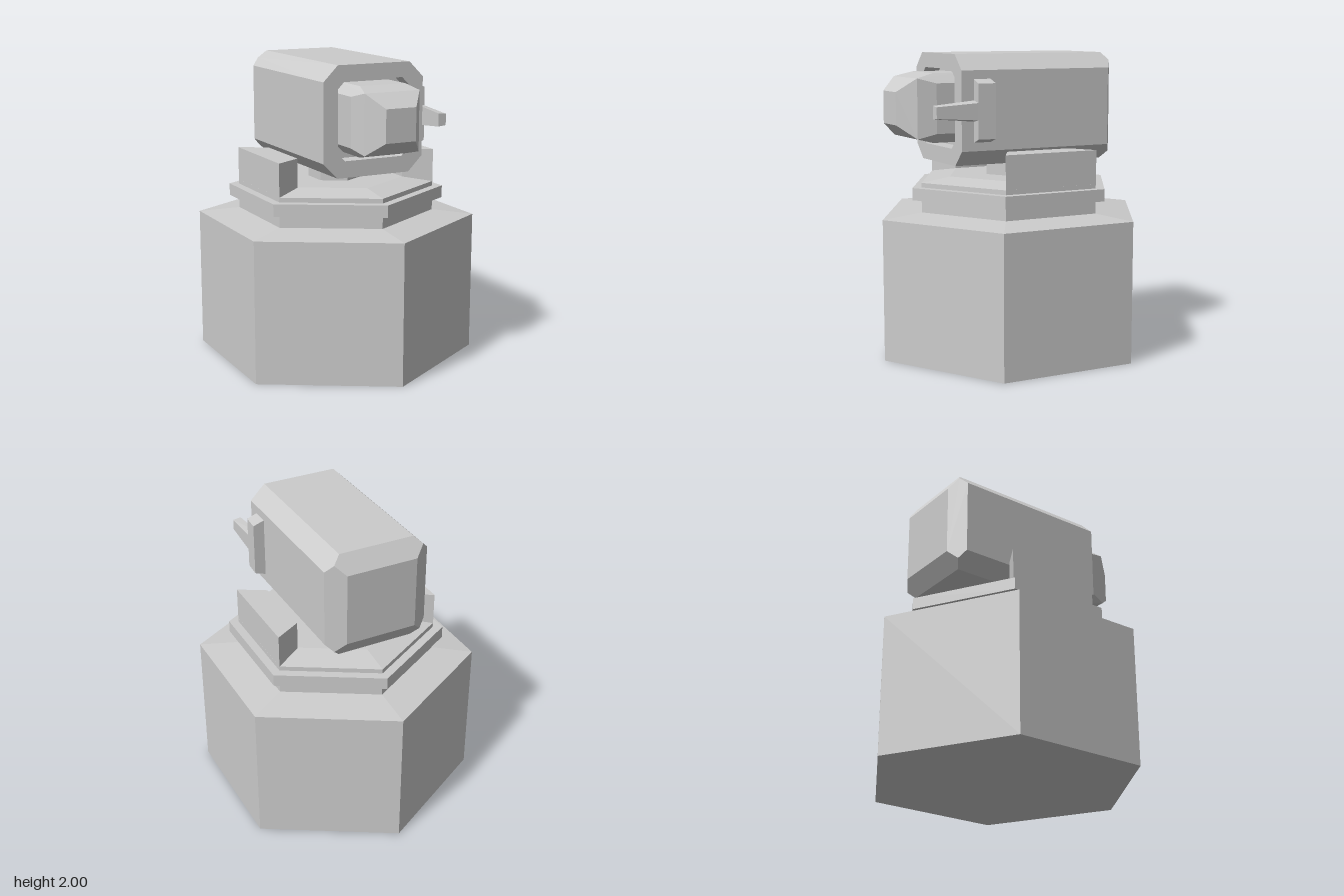
import * as THREE from 'three';
import { ConvexGeometry } from 'three/addons/geometries/ConvexGeometry.js';

const material = new THREE.MeshStandardMaterial({ color: 0xcccccc, flatShading: true });
const HEAD_Y = 1.645;
const BARREL_Y = 1.657;

function addMesh(parent, name, geometry) {
  const mesh = new THREE.Mesh(geometry, material);
  mesh.name = name;
  parent.add(mesh);
  return mesh;
}

// Six-sided turned part, profile listed bottom to top as [radius, y]
function hexLathe(profile) {
  return new THREE.LatheGeometry(profile.map(([r, y]) => new THREE.Vector2(r, y)), 6);
}

// Convex solid around a list of [x, y, z] corners
function hull(points) {
  return new ConvexGeometry(points.map((p) => new THREE.Vector3(...p)));
}

// Outline of a square with cut corners
function octagon(half, cut, y = 0) {
  const k = half - cut;
  return [[half, -k], [half, k], [k, half], [-k, half], [-half, k], [-half, -k], [-k, -half], [k, -half]]
    .map(([px, py]) => [px, py + y]);
}

// Cut-corner square placed at depth z
function section(half, cut, y, z) {
  return octagon(half, cut, y).map(([px, py]) => [px, py, z]);
}

function square(half, y, z) {
  return [[half, half], [-half, half], [-half, -half], [half, -half]].map(([px, py]) => [px, py + y, z]);
}

export function createModel() {
  const model = new THREE.Group();
  model.name = 'turret';

  // Hexagonal pedestal with a shallow sloped shoulder
  addMesh(model, 'base', hexLathe([[0, 0], [0.93, 0], [0.93, 0.935], [0.655, 0.965], [0, 0.965]]));

  // Collar with a projecting band and a low tapered cap
  addMesh(model, 'collar', hexLathe([
    [0.655, 0.95], [0.655, 1.05], [0.72, 1.05], [0.72, 1.13],
    [0.655, 1.13], [0.655, 1.16], [0.45, 1.19], [0, 1.19],
  ]));

  // Side blocks follow the hexagon, wider on the outside
  for (const side of [1, -1]) {
    const corners = [];
    for (const y of [1.15, 1.38]) {
      for (const z of [1, -1]) {
        corners.push([side * 0.39, y, z * 0.228], [side * 0.567, y, z * 0.33]);
      }
    }
    addMesh(model, side > 0 ? 'leftBlock' : 'rightBlock', hull(corners));
  }

  // Pivot under the head
  const pivot = addMesh(model, 'pivot', new THREE.CylinderGeometry(0.18, 0.18, 0.14, 6));
  pivot.position.y = 1.24;

  const head = new THREE.Group();
  head.name = 'head';
  model.add(head);

  // Housing with all rear edges chamfered
  const meet = 0.305; // where the three chamfers meet at each rear corner
  const meetZ = -0.545 - 0.08 * (0.05 / 0.115);
  addMesh(head, 'housing', hull([
    ...section(0.355, 0.1, HEAD_Y, 0.42),
    ...section(0.355, 0.1, HEAD_Y, -0.545),
    ...square(meet, HEAD_Y, meetZ),
    ...square(0.24, HEAD_Y, -0.625),
  ]));

  // Front rim leaves a recess around the barrel
  const toVectors = (outline) => outline.map(([x, y]) => new THREE.Vector2(x, y));
  const rim = new THREE.Shape(toVectors(octagon(0.355, 0.1, HEAD_Y)));
  rim.holes.push(new THREE.Path(toVectors(octagon(0.253, 0.05, 1.65))));
  const rimMesh = addMesh(head, 'frontRim', new THREE.ExtrudeGeometry(rim, { depth: 0.11, bevelEnabled: false }));
  rimMesh.position.z = 0.42;

  // Stubby barrel: octagonal shaft narrowing to a blunt square tip
  addMesh(head, 'barrel', hull([
    ...section(0.222, 0.062, BARREL_Y, 0.4),
    ...section(0.222, 0.062, BARREL_Y, 0.64),
    ...square(0.192, BARREL_Y, 0.76),
    ...square(0.105, BARREL_Y, 0.87),
  ]));

  // Side fin: upright bar with a tapering forward prong
  const bar = [];
  const prong = [];
  for (const s of [1, -1]) {
    for (const z of [0.328, 0.445]) {
      bar.push([0.34, HEAD_Y + s * 0.205, z], [z < 0.4 ? 0.43 : 0.422, HEAD_Y + s * 0.175, z]);
    }
    prong.push(
      [0.355, HEAD_Y + s * 0.068, 0.43], [0.422, HEAD_Y + s * 0.055, 0.43],
      [0.355, HEAD_Y + s * 0.042, 0.725], [0.41, HEAD_Y + s * 0.036, 0.725],
    );
  }
  addMesh(head, 'finBar', hull(bar));
  addMesh(head, 'finProng', hull(prong));

  return model;
}
